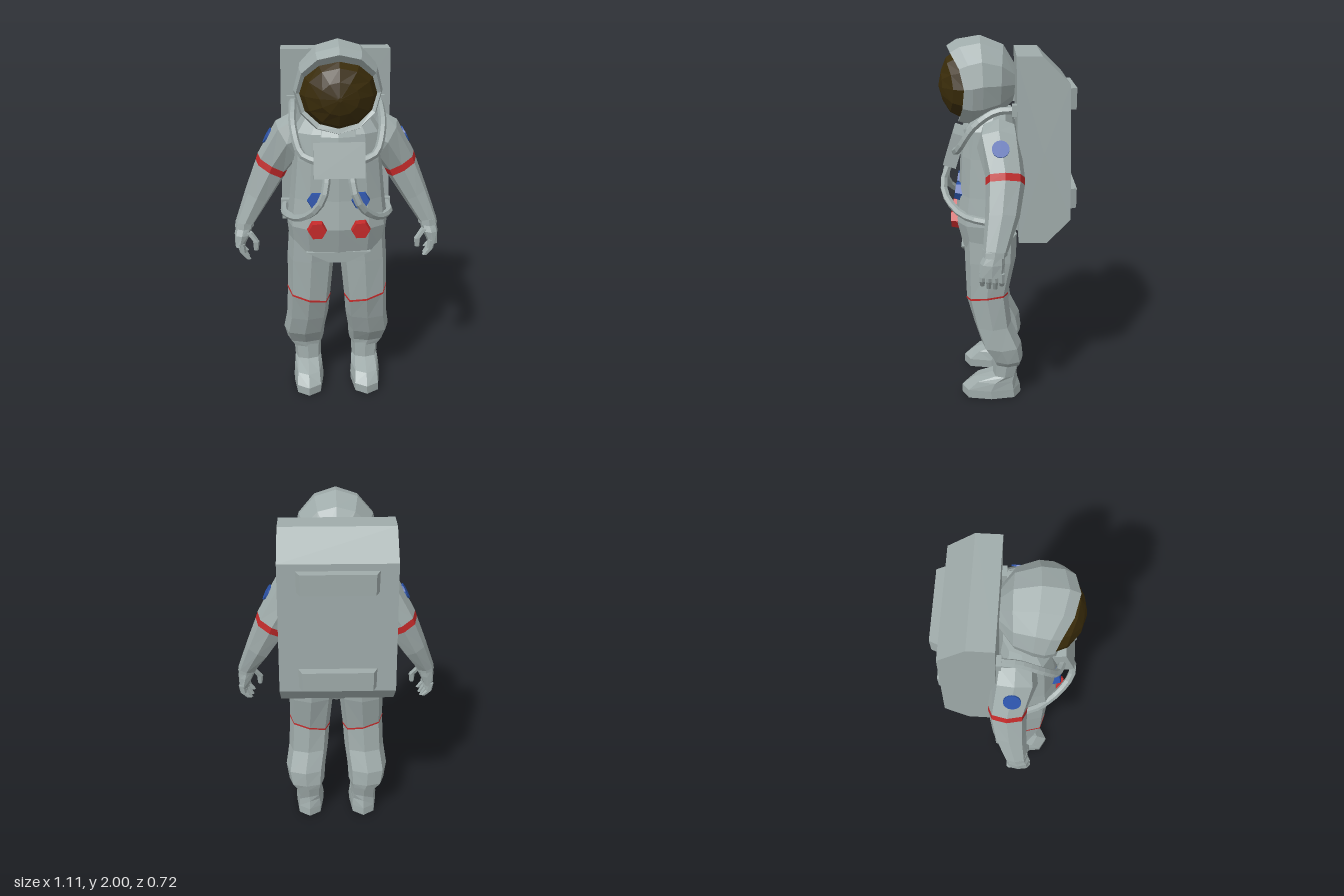
import * as THREE from 'three';

const mat = (name, color) => Object.assign(new THREE.MeshStandardMaterial({ color }), { name });
const V = (x, y, z) => new THREE.Vector3(x, y, z);

// Closed ring of points: centre c, half axes u and v, exponent e < 1 squares it off
function ring(c, u, v, n, e = 1) {
  const f = (t) => Math.sign(t) * Math.pow(Math.abs(t) < 1e-9 ? 0 : Math.abs(t), e);
  return Array.from({ length: n }, (_, i) => {
    const a = (i / n) * Math.PI * 2;
    return c.clone().addScaledVector(u, f(Math.cos(a))).addScaledVector(v, f(Math.sin(a)));
  });
}

// Horizontal ring from its x and z extents
const level = (y, x0, x1, z0, z1, n, e) =>
  ring(V((x0 + x1) / 2, y, (z0 + z1) / 2), V((x1 - x0) / 2, 0, 0), V(0, 0, (z1 - z0) / 2), n, e);

// Faceted skin over rings, capped at both ends and wound outwards
function loft(rings, caps = [true, true]) {
  const tris = [], n = rings[0].length;
  const mid = (r) => r.reduce((s, p) => s.add(p), V(0, 0, 0)).divideScalar(n);
  const first = rings[0], last = rings[rings.length - 1], m0 = mid(first), m1 = mid(last);
  for (let i = 0; i < n; i++) {
    const j = (i + 1) % n;
    for (let k = 0; k < rings.length - 1; k++) {
      const a = rings[k], b = rings[k + 1];
      tris.push([a[i], a[j], b[j]], [a[i], b[j], b[i]]);
    }
    if (caps[0]) tris.push([m0, first[j], first[i]]);
    if (caps[1]) tris.push([m1, last[i], last[j]]);
  }
  const o = mid([...Array(n)].map((_, i) => m0.clone().lerp(m1, i / (n - 1))));
  let vol = 0;
  for (const [a, b, c] of tris)
    vol += a.clone().sub(o).dot(b.clone().sub(o).cross(c.clone().sub(o)));
  const pos = tris.flatMap(([a, b, c]) => (vol < 0 ? [a, c, b] : [a, b, c])).flatMap((p) => [p.x, p.y, p.z]);
  const g = new THREE.BufferGeometry();
  g.setAttribute('position', new THREE.Float32BufferAttribute(pos, 3));
  g.computeVertexNormals();
  return g;
}

function flat(g) {
  const f = g.index ? g.toNonIndexed() : g;
  f.computeVertexNormals();
  return f;
}

export function createModel() {
  const model = new THREE.Group();
  model.name = 'astronaut';
  const suit = mat('suit grey', 0x9fabaa), red = mat('red', 0xc42a2a);
  const blue = mat('blue', 0x2a52a8), gold = mat('dark gold visor', 0x3a2c0a);
  const add = (name, geo, material = suit) => {
    const m = new THREE.Mesh(geo, material);
    m.name = name;
    model.add(m);
    return m;
  };

  // Torso, from crotch to neck
  add('torso', loft([
    [0.845, 0.08, -0.02, 0.21], [0.905, 0.255, -0.05, 0.25], [1.05, 0.268, -0.05, 0.285],
    [1.2, 0.25, -0.05, 0.262], [1.4, 0.23, -0.05, 0.25], [1.54, 0.225, -0.045, 0.225],
    [1.62, 0.17, -0.03, 0.17],
  ].map(([y, h, zb, zf]) => level(y, -h, h, zb, zf, 12, 0.75))));
  add('collar', loft([
    [1.53, 0.17, -0.02, 0.24], [1.6, 0.15, -0.01, 0.2], [1.66, 0.14, 0, 0.18],
  ].map(([y, h, zb, zf]) => level(y, -h, h, zb, zf, 12))));

  // Jacket flap over the crotch
  const flap = new THREE.Shape([[-0.17, 0.91], [-0.05, 0.85], [0.05, 0.85], [0.17, 0.91]]
    .map(([x, y]) => new THREE.Vector2(x, y)));
  add('jacketFlap', flat(new THREE.ExtrudeGeometry(flap, { depth: 0.05, bevelEnabled: false })))
    .position.z = 0.2;

  // Helmet: rings from back to front, the front ones curving back at the sides
  const facing = (cy, rx, ry, zSide, zTop, zBottom) => {
    const pts = ring(V(0, cy, zSide), V(rx, 0, 0), V(0, ry, 0), 12);
    for (const p of pts) {
      const s = (p.y - cy) / ry;
      p.z += s * s * ((s > 0 ? zTop : zBottom) - zSide);
    }
    return pts;
  };
  const rim = facing(1.745, 0.19, 0.165, 0.205, 0.28, 0.25);
  add('helmet', loft([
    facing(1.76, 0.1, 0.1, -0.038, -0.035, -0.025),
    facing(1.765, 0.185, 0.185, 0.03, 0.02, 0.05),
    facing(1.765, 0.215, 0.232, 0.12, 0.14, 0.13),
    facing(1.755, 0.22, 0.222, 0.17, 0.26, 0.19),
    facing(1.75, 0.207, 0.195, 0.215, 0.31, 0.26),
    rim,
  ], [true, false]));
  add('visor', loft([
    rim,
    facing(1.745, 0.165, 0.14, 0.27, 0.315, 0.3),
    facing(1.745, 0.095, 0.08, 0.33, 0.34, 0.335),
    facing(1.745, 0.01, 0.01, 0.355, 0.355, 0.355),
  ], [true, true]), gold);

  // Backpack: side profile across x, wider towards the bottom
  const pack = [[-0.04, 1.92], [-0.165, 1.92], [-0.3, 1.79], [-0.32, 1.105], [-0.2, 0.98], [-0.055, 0.98]];
  add('backpack', loft([-1, 1].map((s) => pack.map(([z, y]) =>
    V(s * (0.282 + (1.92 - y) * 0.018), y, z)))));
  for (const [name, y, z] of [['upperPackRail', 1.703, -0.295], ['lowerPackRail', 1.183, -0.31]]) {
    add(name, loft([[0, 0.2], [-0.05, 0.178]].map(([dz, h]) =>
      [[-h, -0.053], [h, -0.053], [h, 0.053], [-h, 0.053]].map(([x, dy]) => V(x, y + dy, z + dz)))));
  }

  // Chest control box, leaning back
  const box = add('chestBox', flat(new THREE.BoxGeometry(0.255, 0.178, 0.07)));
  box.position.set(0, 1.425, 0.277);
  box.rotation.x = -0.31;

  for (const s of [-1, 1]) {
    const side = s > 0 ? 'left' : 'right';
    const part = (name, ...rest) => add(side + name, ...rest);

    // Leg, with a knee ring sloping inwards and forwards
    const tilt = (pts) => pts.map((p) =>
      V(p.x, p.y + 0.25 * (s * p.x - 0.157) - 0.1 * (p.z - 0.11), p.z));
    const legRing = ([y, x0, x1, zb, zf]) => level(y, s * x0, s * x1, zb, zf, 8, 0.75);
    part('Leg', loft([
      legRing([0.97, 0, 0.262, -0.05, 0.235]),
      legRing([0.84, 0.015, 0.272, -0.045, 0.232]),
      tilt(legRing([0.615, 0.04, 0.275, 0, 0.225])),
      legRing([0.46, 0.05, 0.285, -0.02, 0.185]),
      legRing([0.34, 0.068, 0.305, -0.075, 0.145]),
      legRing([0.25, 0.075, 0.288, -0.085, 0.085]),
      legRing([0.215, 0.085, 0.26, -0.08, 0.08]),
    ]));
    part('KneeStripe', loft([0.62, 0.61].map((y) =>
      tilt(legRing([y, 0.038, 0.277, -0.002, 0.227])))), red);

    // Boot
    part('Boot', loft([
      [0.235, 0.09, 0.25, -0.072, 0.08], [0.135, 0.092, 0.243, -0.05, 0.085],
      [0.1, 0.086, 0.248, -0.055, 0.2], [0.05, 0.08, 0.252, -0.07, 0.262],
      [0, 0.082, 0.252, -0.075, 0.262],
    ].map(legRing)));

    // Arm sections, each from its outer and inner point
    const armRing = ([xo, yo, xi, yi, z, rz]) => ring(
      V(s * (xo + xi) / 2, (yo + yi) / 2, z), V(s * (xo - xi) / 2, (yo - yi) / 2, 0), V(0, 0, rz), 8, 0.8);
    const bandTop = [0.416, 1.39, 0.262, 1.295, 0.015, 0.097];
    const bandLow = [0.428, 1.355, 0.278, 1.262, 0.015, 0.097];
    part('UpperArm', loft([
      [0.235, 1.615, 0.16, 1.38, 0.045, 0.1], [0.315, 1.572, 0.2, 1.38, 0.045, 0.11], bandTop,
    ].map(armRing)));
    part('ArmBand', loft([bandTop, bandLow].map(armRing)), red);
    part('Forearm', loft([
      bandLow, [0.487, 1.2, 0.365, 1.13, 0.03, 0.085], [0.548, 1.025, 0.452, 1.005, 0.065, 0.062],
    ].map(armRing)));
    const patch = part('ArmPatch', flat(new THREE.CylinderGeometry(0.043, 0.043, 0.008, 16)), blue);
    patch.position.set(s * 0.362, 1.492, 0.037);
    patch.rotation.z = -s * 1.06;

    // Hand
    const limb = (pts, n) => loft(pts.map(([x, y, z, rx, rz = rx]) =>
      level(y, s * x - rx, s * x + rx, z - rz, z + rz, n, 0.9)));
    part('Cuff', limb([[0.497, 1.03, 0.066, 0.05, 0.062], [0.502, 0.995, 0.07, 0.052, 0.062]], 8));
    part('Palm', limb([
      [0.502, 1.0, 0.07, 0.044, 0.05], [0.512, 0.96, 0.08, 0.044, 0.062], [0.528, 0.895, 0.083, 0.028, 0.064],
    ], 8));
    for (let i = 0; i < 4; i++) {
      const z = 0.035 + i * 0.032, x = 0.535 - i * 0.006, d = [0.02, 0, 0, 0.012][i];
      part('Finger', limb([
        [x, 0.915, z, 0.019, 0.016], [x - 0.006, 0.865, z, 0.018, 0.015], [x - 0.035, 0.815 + d, z, 0.014, 0.012],
      ], 6));
    }
    part('Thumb', limb([[0.475, 0.975, 0.11, 0.02], [0.438, 0.925, 0.122, 0.018], [0.44, 0.875, 0.122, 0.013]], 6));

    // Hoses from the backpack to the chest box, with their fittings
    const hose = (name, pts) => part(name, flat(new THREE.TubeGeometry(
      new THREE.CatmullRomCurve3(pts.map(([x, y, z]) => V(s * x, y, z))), 12, 0.02, 6)));
    hose('UpperHose', [[0.225, 1.655, -0.04], [0.225, 1.645, 0.06], [0.225, 1.57, 0.17], [0.185, 1.45, 0.25], [0.11, 1.42, 0.275]]);
    hose('LowerHose', [[0.06, 1.37, 0.29], [0.075, 1.27, 0.335], [0.115, 1.19, 0.33], [0.2, 1.11, 0.25], [0.275, 1.09, 0.13], [0.28, 1.08, -0.05]]);
    for (const [x, y] of [[0.228, 1.655], [0.275, 1.08]])
      part('HoseFitting', flat(new THREE.BoxGeometry(0.056, 0.056, 0.03))).position.set(s * x, y, -0.035);

    // Hexagonal chest buttons
    for (const [name, y, z, r, tip, m] of [['RedButton', 1.052, 0.278, 0.055, 1.57, red], ['BlueButton', 1.205, 0.255, 0.052, 1.4, blue]]) {
      const g = new THREE.CylinderGeometry(r * 0.85, r, 0.045, 6).rotateY(Math.PI / 6);
      const b = part(name, flat(g), m);
      b.rotation.x = tip;
      b.position.set(s * 0.112, y, z);
    }
  }
  return model;
}
